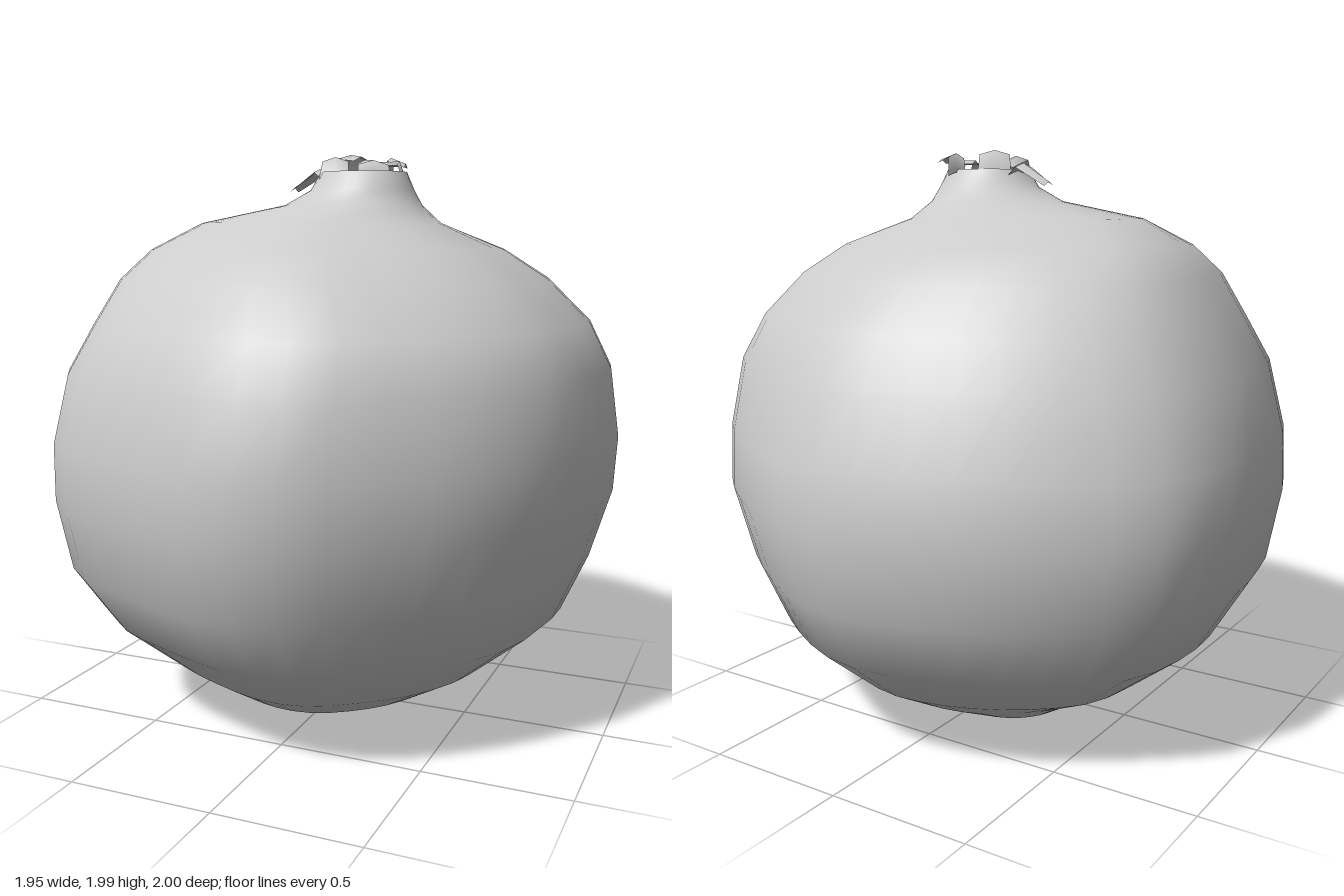
import * as THREE from 'three';

const skin = new THREE.MeshStandardMaterial({ color: 0xcccccc, side: THREE.DoubleSide });
skin.name = 'plain grey';

// Six-sided, softly lobed plan of the fruit (x, z), going round from the back
const plan = new THREE.CatmullRomCurve3([
  [0.07, -1], [0.35, -0.92], [0.85, -0.58], [0.94, -0.46], [0.985, -0.24], [0.96, 0], [0.9, 0.3],
  [0.72, 0.6], [0.5, 0.8], [0.27, 0.96], [0.1, 1], [-0.08, 0.99], [-0.4, 0.88], [-0.72, 0.72],
  [-0.88, 0.52], [-0.96, 0.2], [-0.99, -0.1], [-0.95, -0.4], [-0.87, -0.56], [-0.46, -0.87],
].map(([x, z]) => new THREE.Vector3(x, 0, z)), true, 'centripetal');

// Height, then left, right, back and front extents of each ring
const rings = [
  [0.05, -0.07, -0.03, -0.07, -0.03],
  [0.03, -0.13, 0.02, -0.14, 0.0],
  [0.005, -0.19, 0.07, -0.24, 0.06],
  [0.02, -0.29, 0.13, -0.3, 0.12],
  [0.1, -0.43, 0.4, -0.48, 0.43],
  [0.19, -0.6, 0.58, -0.64, 0.58],
  [0.36, -0.82, 0.8, -0.84, 0.78],
  [0.57, -0.945, 0.895, -0.945, 0.925],
  [0.82, -0.99, 0.97, -1, 0.985],
  [1.02, -0.975, 0.985, -0.97, 1],
  [1.26, -0.91, 0.955, -0.9, 0.96],
  [1.42, -0.82, 0.88, -0.8, 0.87],
  [1.57, -0.74, 0.73, -0.68, 0.74],
  [1.67, -0.64, 0.58, -0.55, 0.61],
  [1.76, -0.47, 0.38, -0.31, 0.42],
  [1.82, -0.16, 0.32, -0.17, 0.28],
  [1.87, -0.06, 0.295, -0.12, 0.245],
  [1.93, -0.03, 0.27, -0.08, 0.2],
];

// Hollow inside the crown
const hollow = [
  [1.93, -0.03, 0.27, -0.08, 0.2],
  [1.88, 0.02, 0.22, -0.03, 0.15],
  [1.86, 0.1, 0.14, 0.04, 0.08],
];

// Smooth skin through a stack of rings, with optional end caps
function loft(stack, capStart, capEnd) {
  const n = 40;
  const pos = [];
  const index = [];
  const outline = plan.getSpacedPoints(n).slice(0, n);
  for (const [y, l, r, b, f] of stack) {
    // the lobes fade into a circle towards the poles
    const lobed = THREE.MathUtils.smoothstep(Math.min(r - l, f - b), 0.3, 1.4);
    for (const p of outline) {
      const round = 1 / Math.hypot(p.x, p.z);
      const k = THREE.MathUtils.lerp(round, 1, lobed);
      pos.push((l + r) / 2 + p.x * k * (r - l) / 2, y, (b + f) / 2 + p.z * k * (f - b) / 2);
    }
  }
  for (let i = 0; i < stack.length - 1; i++) {
    for (let j = 0; j < n; j++) {
      const a = i * n + j, b = i * n + (j + 1) % n;
      index.push(a, a + n, b, b, a + n, b + n);
    }
  }
  const cap = (row, up) => {
    const [y, l, r, b, f] = stack[row];
    const c = pos.length / 3;
    pos.push((l + r) / 2, y, (b + f) / 2);
    for (let j = 0; j < n; j++) {
      const p = row * n + j, q = row * n + (j + 1) % n;
      if (up) index.push(c, q, p);
      else index.push(c, p, q);
    }
  };
  if (capStart) cap(0, false);
  if (capEnd) cap(stack.length - 1, true);
  const g = new THREE.BufferGeometry();
  g.setAttribute('position', new THREE.Float32BufferAttribute(pos, 3));
  g.setIndex(index);
  g.computeVertexNormals();
  return g;
}

// Crooked sepal: a strip along a bent path, narrowing to a blunt tip
function sepal(path, width) {
  const pts = path.map((p) => new THREE.Vector3(...p));
  const dir = pts[2].clone().sub(pts[0]);
  const side = new THREE.Vector3(-dir.z, 0, dir.x).normalize();
  const pos = [];
  pts.forEach((p, i) => {
    const w = width * [0.5, 0.45, 0.25][i];
    for (const s of [-1, 0, 1]) {
      const q = p.clone().addScaledVector(side, s * w);
      pos.push(q.x, q.y - Math.abs(s) * 0.015, q.z);
    }
  });
  const index = [];
  for (let i = 0; i < 2; i++) {
    for (let j = 0; j < 2; j++) {
      const a = i * 3 + j;
      index.push(a, a + 3, a + 1, a + 1, a + 3, a + 4);
    }
  }
  const g = new THREE.BufferGeometry();
  g.setAttribute('position', new THREE.Float32BufferAttribute(pos, 3));
  g.setIndex(index);
  g.computeVertexNormals();
  return g;
}

export function createModel() {
  const model = new THREE.Group();
  model.name = 'fruit';
  const add = (name, geometry, parent) => {
    const mesh = new THREE.Mesh(geometry, skin);
    mesh.name = name;
    parent.add(mesh);
  };

  add('body', loft(rings, true, false), model);

  const crown = new THREE.Group();
  crown.name = 'crown';
  model.add(crown);
  add('crownHollow', loft(hollow, false, true), crown);

  // Base, bend and tip of each sepal
  const sepals = [
    [[[-0.01, 1.91, 0.03], [-0.06, 1.95, 0.01], [-0.17, 1.885, 0.0]], 0.1],
    [[[0.03, 1.92, -0.04], [0.04, 1.995, -0.02], [0.1, 1.985, 0.03]], 0.12],
    [[[0.16, 1.92, -0.08], [0.17, 1.985, -0.07], [0.22, 1.965, -0.09]], 0.14],
    [[[0.26, 1.91, 0.03], [0.24, 1.965, 0.03], [0.17, 1.965, 0.05]], 0.13],
    [[[0.2, 1.91, 0.16], [0.19, 1.965, 0.15], [0.13, 1.97, 0.08]], 0.12],
    [[[0.05, 1.92, 0.16], [0.04, 1.98, 0.12], [0.02, 1.95, 0.02]], 0.1],
  ];
  for (const [path, width] of sepals) add('sepal', sepal(path, width), crown);

  return model;
}
